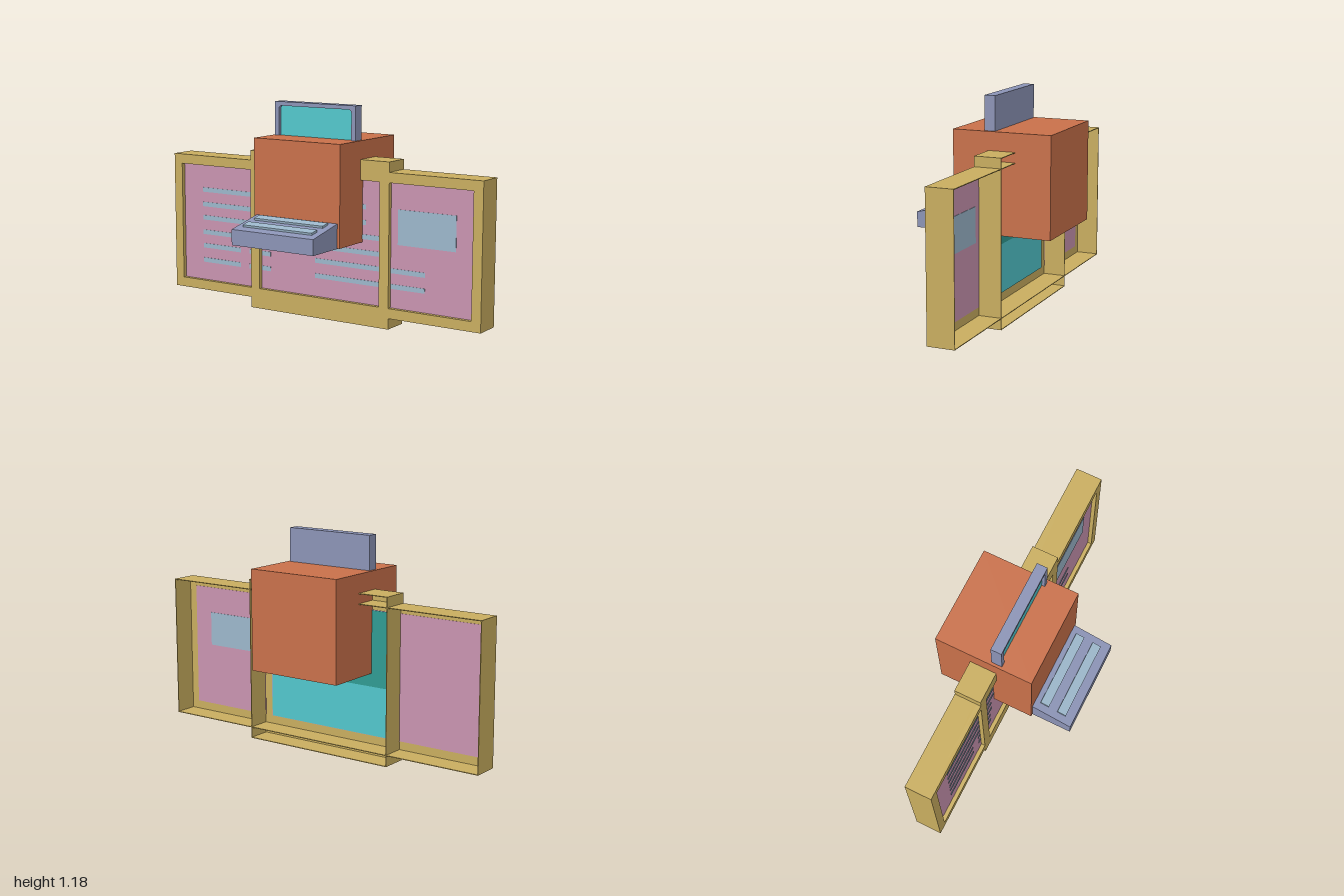
import * as THREE from 'three';

const material = (name, color, side = THREE.FrontSide) => {
  const m = new THREE.MeshStandardMaterial({ color, side });
  m.name = name;
  return m;
};

// Rectangle outline from its limits
function rect(x0, y0, x1, y1, Type = THREE.Path) {
  const p = new Type();
  p.moveTo(x0, y0);
  p.lineTo(x1, y0);
  p.lineTo(x1, y1);
  p.lineTo(x0, y1);
  p.closePath();
  return p;
}

export function createModel() {
  const model = new THREE.Group();
  model.name = 'informationDisplay';

  const tan = material('tan', 0xc8ad5f, THREE.DoubleSide);
  const pink = material('pink', 0xc893af);
  const orange = material('orange', 0xc8704a);
  const slate = material('slate', 0x8b93b5);
  const paleBlue = material('paleBlue', 0x9bb6ca);
  const teal = material('teal', 0x52c6cb);
  const darkTeal = material('darkTeal', 0x2f9a92);

  const add = (name, geometry, mat, parent = model) => {
    const mesh = new THREE.Mesh(geometry, mat);
    mesh.name = name;
    parent.add(mesh);
    return mesh;
  };
  // Box from its limits on each axis
  const block = (name, [x0, x1], [y0, y1], [z0, z1], mat, parent) => {
    const mesh = add(name, new THREE.BoxGeometry(x1 - x0, y1 - y0, z1 - z0), mat, parent);
    mesh.position.set((x0 + x1) / 2, (y0 + y1) / 2, (z0 + z1) / 2);
    return mesh;
  };

  const back = -0.19, front = -0.04, panelZ = -0.064, t = 0.004;

  // Front border with three openings
  const frame = new THREE.Group();
  frame.name = 'frame';
  model.add(frame);
  const border = new THREE.Shape([
    [-1, 0.06], [-0.45, 0.06], [-0.45, 0], [0.45, 0], [0.45, 0.06], [1, 0.06],
    [1, 0.845], [0.45, 0.845], [0.45, 0.9], [-0.45, 0.9], [-0.45, 0.845], [-1, 0.845],
  ].map(([x, y]) => new THREE.Vector2(x, y)));
  border.holes.push(
    rect(-0.945, 0.115, -0.452, 0.79),
    rect(-0.393, 0.115, 0.393, 0.79),
    rect(0.452, 0.115, 0.945, 0.79),
  );
  add('frontBorder', new THREE.ExtrudeGeometry(border, { depth: 0.024, bevelEnabled: false }), tan, frame)
    .position.z = panelZ;

  // Thin walls of the open-backed frame
  const depth = [back, front - 0.001];
  block('sideBottomWall', [-1, 1], [0.06, 0.06 + t], depth, tan, frame);
  block('sideTopWall', [-1, 1], [0.845 - t, 0.845], depth, tan, frame);
  block('centreBottomWall', [-0.45, 0.45], [0, t], depth, tan, frame);
  block('centreTopWall', [-0.45, 0.45], [0.9 - t, 0.9], depth, tan, frame);
  for (const s of [-1, 1]) {
    block('outerWall', [s * 1 - t * (s + 1) / 2, s * 1 + t * (1 - s) / 2], [0.06, 0.845], depth, tan, frame);
    block('centreWall', [s * 0.45 - t / 2, s * 0.45 + t / 2], [0, 0.9], depth, tan, frame);
  }

  // Panels: pink in front, two-tone teal behind the middle one
  const pz = [panelZ - 0.002, panelZ + 0.001];
  block('rightPanel', [-0.95, -0.445], [0.11, 0.795], pz, pink);
  block('leftPanel', [0.445, 0.95], [0.11, 0.795], pz, pink);
  block('centrePanel', [-0.4, 0.4], [0.11, 0.795], pz, pink);
  block('backPanelLower', [-0.395, 0.395], [0.112, 0.38], [panelZ - 0.005, panelZ - 0.002], teal);
  block('backPanelUpper', [-0.395, 0.395], [0.38, 0.792], [panelZ - 0.005, panelZ - 0.002], darkTeal);

  // Printed lines and picture block: [y, x start, x end]
  const lines = [
    [0.645, -0.81, -0.455], [0.645, -0.392, 0.297], [0.56, -0.81, -0.455], [0.56, -0.392, 0.297],
    [0.482, -0.81, -0.455], [0.482, -0.392, -0.31], [0.482, -0.03, 0.39],
    [0.397, -0.81, -0.455], [0.397, -0.392, -0.31], [0.397, -0.03, 0.39],
  ];
  for (const y of [0.317, 0.232])
    lines.push([y, -0.81, -0.54], [y, -0.48, -0.455], [y, -0.392, -0.33], [y, -0.03, 0.39], [y, 0.453, 0.66]);
  for (const [y, x0, x1] of lines)
    block('printedLine', [x0, x1], [y - 0.013, y + 0.013], [panelZ, panelZ + 0.003], paleBlue);
  block('pictureBlock', [0.495, 0.84], [0.46, 0.65], [panelZ - 0.004, panelZ + 0.003], paleBlue);

  // Main cabinet
  block('cabinet', [-0.275, 0.275], [0.452, 1], [-0.387, 0.162], orange);

  // Keyboard wedge running back into the cabinet
  const wedge = new THREE.Shape([
    [0.387, 0.45], [0.387, 0.535], [0.162, 0.583], [-0.15, 0.583], [-0.15, 0.45],
  ].map(([z, y]) => new THREE.Vector2(-z, y)));
  const wedgeGeometry = new THREE.ExtrudeGeometry(wedge, { depth: 0.52, bevelEnabled: false });
  wedgeGeometry.translate(0, 0, -0.26).rotateY(Math.PI / 2);
  add('keyboard', wedgeGeometry, slate);

  // Two raised key rows following the slope
  const slope = Math.atan2(0.048, 0.225);
  for (const z of [0.314, 0.214]) {
    const row = add('keyRow', new THREE.BoxGeometry(0.44, 0.024, 0.05), paleBlue);
    row.position.set(0, 0.583 - (z - 0.162) * Math.tan(slope), z);
    row.rotation.x = slope;
  }

  // Monitor: bezel with rounded opening, back shell and recessed screen
  const bezel = rect(-0.26, 0.99, 0.26, 1.185, THREE.Shape);
  const opening = new THREE.Path();
  opening.moveTo(-0.233, 0.995);
  opening.lineTo(0.233, 0.995);
  opening.lineTo(0.233, 1.145);
  opening.quadraticCurveTo(0.233, 1.163, 0.215, 1.163);
  opening.lineTo(-0.215, 1.163);
  opening.quadraticCurveTo(-0.233, 1.163, -0.233, 1.145);
  opening.closePath();
  bezel.holes.push(opening);
  add('monitorBezel', new THREE.ExtrudeGeometry(bezel, { depth: 0.02, bevelEnabled: false, curveSegments: 4 }), slate)
    .position.z = -0.032;
  block('monitorBack', [-0.26, 0.26], [0.99, 1.185], [-0.072, -0.032], slate);
  block('screen', [-0.24, 0.24], [0.995, 1.17], [-0.036, -0.03], teal);

  return model;
}
